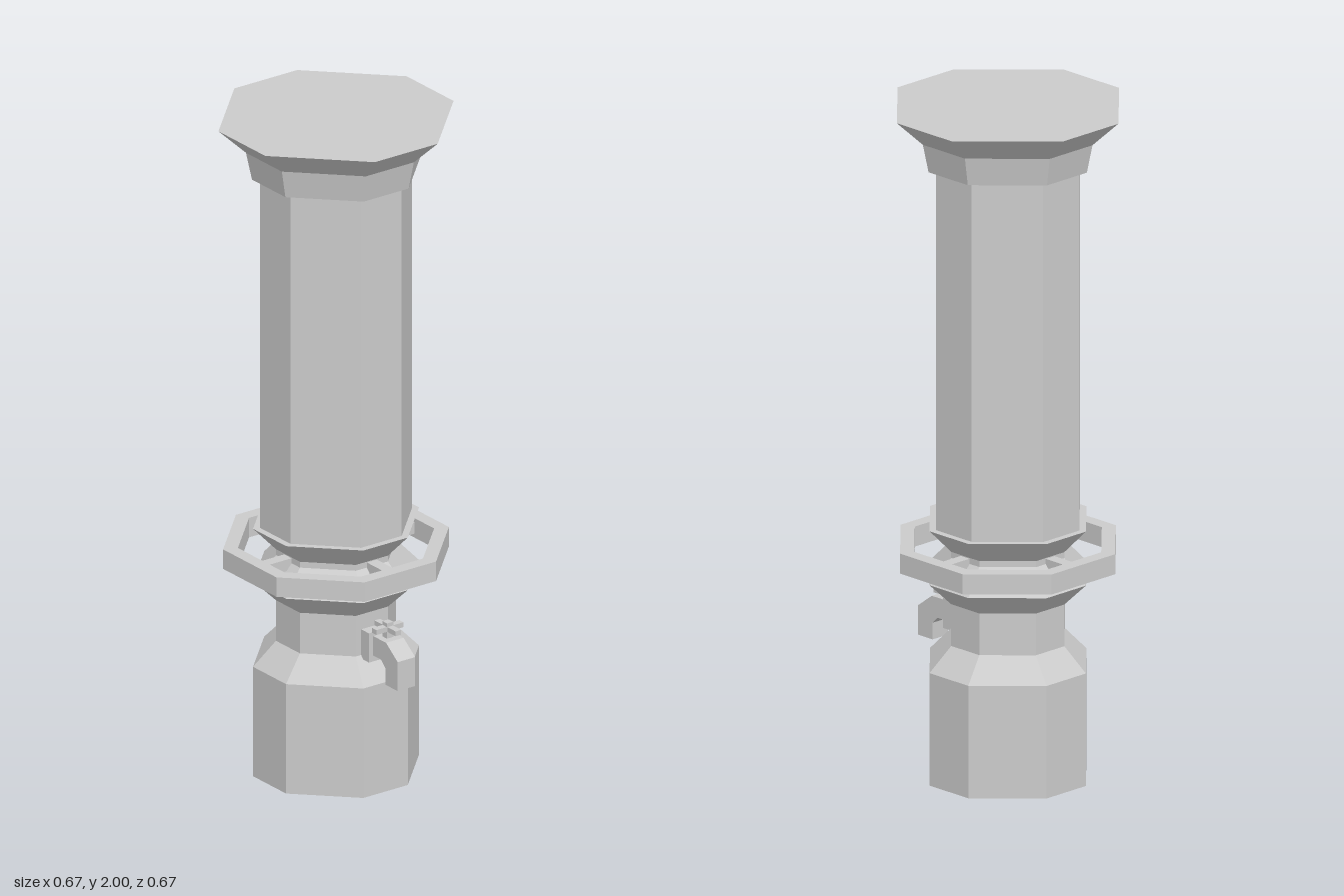
import * as THREE from 'three';

const material = new THREE.MeshStandardMaterial({ color: 0xcccccc, flatShading: true });

// Octagon cut from a square, each straight side one third of the width
const t = 1 / 3;
const OCTAGON = [[t, 1], [1, t], [1, -t], [t, -1], [-t, -1], [-1, -t], [-1, t], [-t, 1]];

function addMesh(parent, name, geometry, x = 0, y = 0, z = 0) {
  const mesh = new THREE.Mesh(geometry, material);
  mesh.name = name;
  mesh.position.set(x, y, z);
  parent.add(mesh);
  return mesh;
}

function addBox(parent, name, w, h, d, x, y, z) {
  return addMesh(parent, name, new THREE.BoxGeometry(w, h, d), x, y, z);
}

// Closed solid through octagonal sections given as [half width, height]
function octagonLoft(sections) {
  const positions = [];
  const put = (...points) => points.forEach((p) => positions.push(...p));
  const rings = sections.map(([r, y]) => OCTAGON.map(([x, z]) => [x * r, y, z * r]));
  const last = rings.length - 1;
  for (let i = 0; i < 8; i++) {
    const j = (i + 1) % 8;
    for (let k = 0; k < last; k++) {
      const a = rings[k], b = rings[k + 1];
      put(a[i], a[j], b[j], a[i], b[j], b[i]);
    }
    put([0, sections[0][1], 0], rings[0][j], rings[0][i]);
    put([0, sections[last][1], 0], rings[last][i], rings[last][j]);
  }
  const geometry = new THREE.BufferGeometry();
  geometry.setAttribute('position', new THREE.Float32BufferAttribute(positions, 3));
  geometry.computeVertexNormals();
  return geometry;
}

// Regular octagon outline with flat sides on the axes
function octagonPath(path, apothem) {
  const r = apothem / Math.cos(Math.PI / 8);
  const points = [];
  for (let i = 0; i < 8; i++) {
    const a = Math.PI / 8 + (i * Math.PI) / 4;
    points.push(new THREE.Vector2(r * Math.cos(a), r * Math.sin(a)));
  }
  return path.setFromPoints(points);
}

function createHandrail() {
  const rail = new THREE.Group();
  rail.name = 'ringRail';
  const shape = octagonPath(new THREE.Shape(), 0.305);
  shape.holes.push(octagonPath(new THREE.Path(), 0.265));
  const ring = new THREE.ExtrudeGeometry(shape, { depth: 0.06, bevelEnabled: false });
  ring.rotateX(-Math.PI / 2);
  addMesh(rail, 'ring', ring, 0, 0.64, 0);
  // Four arms tie the ring to the neck
  for (let i = 0; i < 4; i++) {
    const arm = new THREE.BoxGeometry(0.035, 0.035, 0.13);
    arm.translate(0, 0, 0.215);
    addMesh(rail, 'ringArm', arm, 0, 0.67, 0).rotation.y = (i * Math.PI) / 2;
  }
  return rail;
}

function createTap() {
  const tap = new THREE.Group();
  tap.name = 'tap';
  const cx = 0.008;
  addBox(tap, 'tapPlate', 0.092, 0.09, 0.04, cx, 0.442, 0.187);

  // Spout side profile, drawn as [z, y]
  const profile = [
    [0.2, 0.415], [0.245, 0.415], [0.265, 0.395], [0.265, 0.345],
    [0.323, 0.345], [0.323, 0.434], [0.268, 0.475], [0.2, 0.475],
  ].map(([z, y]) => new THREE.Vector2(z, y));
  const spout = new THREE.ExtrudeGeometry(new THREE.Shape(profile), { depth: 0.062, bevelEnabled: false });
  spout.rotateY(-Math.PI / 2);
  addMesh(tap, 'spout', spout, cx + 0.031, 0, 0);

  // Stem and cross handle
  const cz = 0.235;
  addBox(tap, 'tapStem', 0.022, 0.05, 0.022, cx, 0.497, cz);
  addBox(tap, 'handleBar', 0.096, 0.015, 0.02, cx, 0.503, cz);
  addBox(tap, 'handleBar', 0.02, 0.015, 0.1, cx, 0.503, cz);
  return tap;
}

export function createModel() {
  const model = new THREE.Group();
  model.name = 'octagonalColumn';

  // Base block, waist, double flange and neck
  addMesh(model, 'pedestal', octagonLoft([
    [0.235, 0], [0.235, 0.337], [0.17, 0.408], [0.17, 0.533], [0.235, 0.6],
    [0.17, 0.672], [0.17, 0.69], [0.235, 0.762],
  ]));
  addMesh(model, 'shaft', octagonLoft([[0.215, 0.755], [0.215, 1.845]]));
  addMesh(model, 'capital', octagonLoft([[0.238, 1.838], [0.255, 1.923], [0.333, 2]]));

  model.add(createHandrail(), createTap());
  return model;
}
